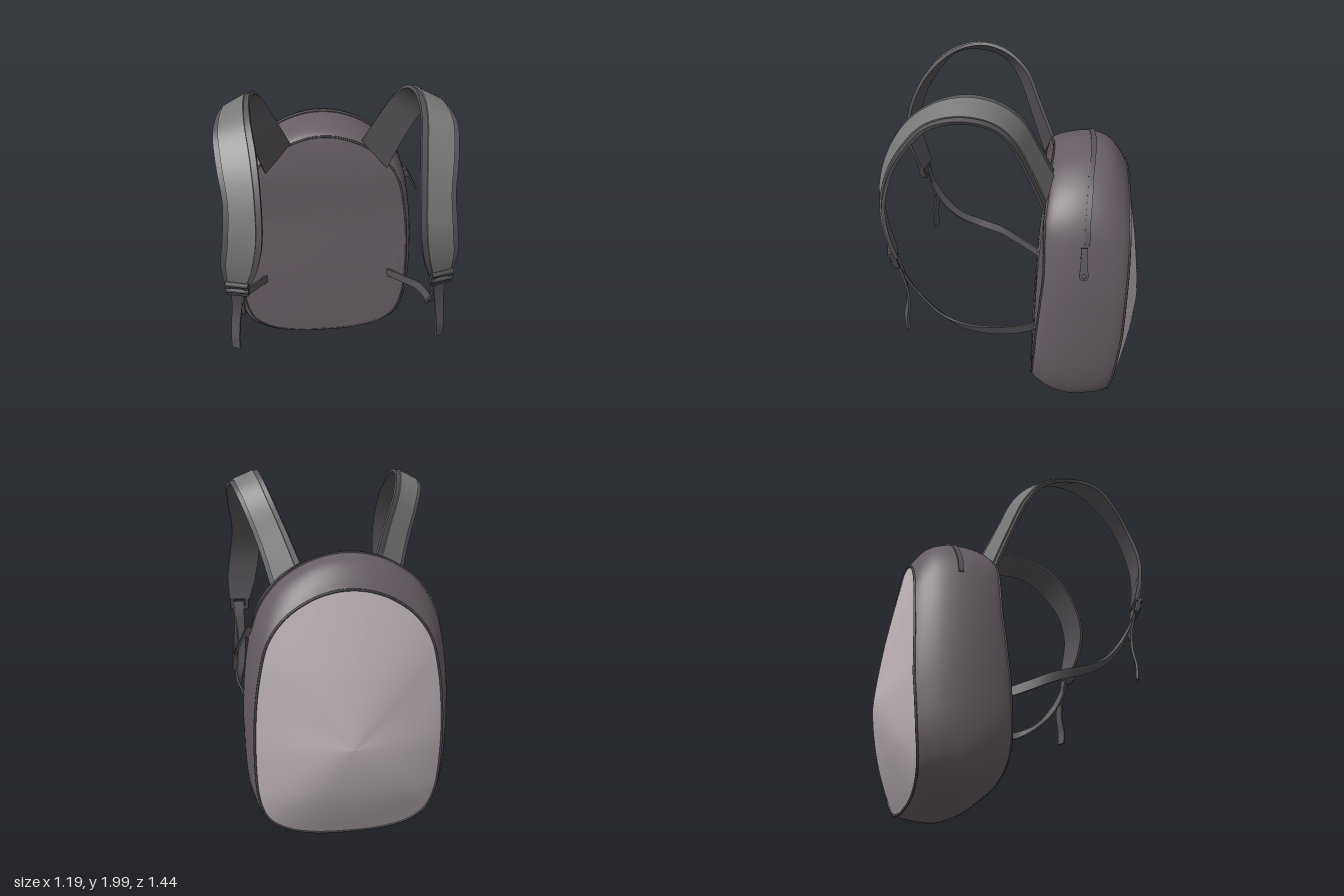
import * as THREE from 'three';
import { toCreasedNormals } from 'three/addons/utils/BufferGeometryUtils.js';

const V = (x, y, z) => new THREE.Vector3(x, y, z);
const mat = (color) => new THREE.MeshStandardMaterial({ color });
const bodyMat = mat(0x665d64), panelMat = mat(0xc2b7bc), padMat = mat(0x787978);
const trimMat = mat(0x565356), darkMat = mat(0x454346);

function add(parent, name, geometry, material) {
  const mesh = new THREE.Mesh(geometry, material);
  mesh.name = name;
  parent.add(mesh);
  return mesh;
}

// Skin over rings of points; each ring runs counter-clockwise seen from the first one
function loft(rings) {
  const n = rings[0].length, pos = [], index = [];
  rings.forEach((r) => r.forEach((p) => pos.push(p.x, p.y, p.z)));
  for (let i = 0; i < rings.length - 1; i++) {
    for (let j = 0; j < n; j++) {
      const k = (j + 1) % n, a = i * n, b = a + n;
      index.push(a + j, b + j, b + k, a + j, b + k, a + k);
    }
  }
  const g = new THREE.BufferGeometry();
  g.setAttribute('position', new THREE.Float32BufferAttribute(pos, 3));
  g.setIndex(index);
  g.computeVertexNormals();
  return g;
}

// Strap between two edge lines, covering f0..f1 of the width and n0..n1 of the thickness
function ribbon(edgeA, edgeB, f0, f1, n0, n1, side = 1, steps = 56) {
  const a = new THREE.CatmullRomCurve3(edgeA), b = new THREE.CatmullRomCurve3(edgeB);
  const mid = (t) => a.getPoint(t).lerp(b.getPoint(t), 0.5);
  const rings = [];
  for (let i = 0; i <= steps; i++) {
    const t = i / steps, A = a.getPoint(t), B = b.getPoint(t);
    const tangent = mid(Math.min(1, t + 0.01)).sub(mid(Math.max(0, t - 0.01)));
    const N = tangent.cross(B.clone().sub(A)).normalize();
    const ring = [[f0, n0], [f0, n1], [f1, n1], [f1, n0]].map(([f, n]) => {
      const p = A.clone().lerp(B, f).addScaledVector(N, n);
      p.x *= side;
      return p;
    });
    rings.push(side < 0 ? ring.reverse() : ring);
  }
  // closed ends
  const cap = (r) => r.map(() => r[0].clone().add(r[2]).multiplyScalar(0.5));
  rings.unshift(cap(rings[0]));
  rings.push(cap(rings[rings.length - 1]));
  return toCreasedNormals(loft(rings), 0.7);
}

// Piecewise-linear depth profiles of the front and back seams over height
function profile(table) {
  return (y) => {
    let i = 1;
    while (i < table.length - 1 && y > table[i][0]) i++;
    const [y0, z0] = table[i - 1], [y1, z1] = table[i];
    return z0 + (z1 - z0) * Math.min(1, Math.max(0, (y - y0) / (y1 - y0)));
  };
}
const zFront = profile([[0, -0.09], [0.15, -0.07], [0.6, -0.1], [1, -0.14], [1.3, -0.14], [1.5, -0.17], [1.59, -0.21]]);
const zBack = profile([[0, -0.515], [0.3, -0.56], [0.6, -0.59], [1, -0.6], [1.6, -0.6]]);

// Bag outline: half width and height as fractions, mirrored into an arch
const HALF = [[0.4, 0.008], [0.7, 0.04], [0.89, 0.1], [0.97, 0.19], [1, 0.35], [0.985, 0.55],
  [0.93, 0.7], [0.86, 0.8], [0.7, 0.89], [0.44, 0.96], [0.2, 0.992]];
const arch = new THREE.CatmullRomCurve3([V(0, 0, 0), ...HALF.map(([u, v]) => V(u, v, 0)), V(0, 1, 0),
  ...HALF.slice().reverse().map(([u, v]) => V(-u, v, 0))], true);
const OUTLINE = arch.getPoints(96).slice(0, 96);

const station = ([w, bottom, top, s, shift]) => OUTLINE.map((p) => {
  const y = bottom + (top - bottom) * p.y;
  return V(p.x * w + shift, y, THREE.MathUtils.lerp(zFront(y), zBack(y), s));
});

function piping(parent, name, ring) {
  const path = new THREE.CatmullRomCurve3(ring, true);
  add(parent, name, new THREE.TubeGeometry(path, 120, 0.007, 6, true), darkMat);
}

function buildBag() {
  const bag = new THREE.Group();
  bag.name = 'bag';
  // half width, bottom, top, depth fraction, sideways shift
  const stations = [
    [0.515, 0.15, 1.52, 0, -0.02], [0.54, 0.12, 1.545, 0.05, -0.02], [0.565, 0.05, 1.575, 0.25, -0.02],
    [0.567, 0.005, 1.585, 0.5, -0.02], [0.55, 0.005, 1.555, 0.75, -0.015], [0.525, 0.02, 1.48, 0.92, -0.005],
    [0.505, 0.035, 1.42, 1, 0],
  ].map(station);
  const lines = OUTLINE.map((_, j) => new THREE.CatmullRomCurve3(stations.map((r) => r[j])).getPoints(24));
  const shell = Array.from({ length: 25 }, (_, i) => lines.map((l) => l[i]));

  // flat front panel filling the first outline
  const front = [];
  for (let q = 0; q < 1; q += 0.125) {
    front.push(shell[0].map((p) => {
      const y = 0.8 + (p.y - 0.8) * q;
      return V(-0.02 + (p.x + 0.02) * q, y, zFront(y) + 0.008 * (1 - q));
    }));
  }
  add(bag, 'body', loft([...front, ...shell]), bodyMat);

  // bulging back panel
  const edge = shell[24], back = [];
  for (let i = 16; i >= 0; i--) {
    const q = i / 16;
    back.push(edge.map((p) => {
      const y = 0.6 + (p.y - 0.6) * q;
      const up = THREE.MathUtils.smoothstep(p.y, 0.3, 1);
      const bulge = 0.13 * (1 - Math.pow(q, 1.7 - 0.5 * up));
      return V(p.x * q, y, zBack(y) - bulge);
    }));
  }
  add(bag, 'backPanel', loft(back), panelMat);

  piping(bag, 'frontPiping', shell[1]);
  piping(bag, 'backPiping', edge);

  // zip band over the top of the bag
  const zip = shell[12].filter((p) => p.y > 1.17);
  const shifted = (dz) => zip.map((p) => V(p.x, p.y, p.z + dz));
  add(bag, 'zip', ribbon(shifted(-0.014), shifted(0.014), 0, 1, -0.01, 0.006), trimMat);
  return bag;
}

// Zip slider with a hanging tab
function buildZipPull() {
  const pull = new THREE.Group();
  pull.name = 'zipPull';
  add(pull, 'zipSlider', new THREE.BoxGeometry(0.03, 0.055, 0.035), darkMat);
  const shape = new THREE.Shape();
  shape.moveTo(-0.014, 0);
  shape.lineTo(-0.024, -0.12);
  shape.absarc(0, -0.12, 0.024, Math.PI, Math.PI * 2);
  shape.lineTo(0.014, 0);
  const hole = new THREE.Path();
  hole.absarc(0, -0.12, 0.012, 0, Math.PI * 2, true);
  shape.holes.push(hole);
  const g = new THREE.ExtrudeGeometry(shape, { depth: 0.012, bevelEnabled: false });
  const tab = add(pull, 'zipTab', g.translate(0, 0, -0.006).rotateY(Math.PI / 2), darkMat);
  tab.position.x = 0.012;
  pull.position.set(0.515, 1.165, -0.355);
  pull.rotation.z = 0.45;
  return pull;
}

// Ladder buckle: a rounded frame with a cross bar
function buildBuckle(side) {
  const buckle = new THREE.Group();
  buckle.name = 'buckle';
  const box = (path, w, h) => {
    path.moveTo(-w, -h * 0.6);
    path.quadraticCurveTo(-w, -h, -w * 0.75, -h).lineTo(w * 0.75, -h);
    path.quadraticCurveTo(w, -h, w, -h * 0.6).lineTo(w, h).lineTo(-w, h).closePath();
    return path;
  };
  const frame = box(new THREE.Shape(), 0.056, 0.046);
  frame.holes.push(box(new THREE.Path(), 0.04, 0.03));
  const g = new THREE.ExtrudeGeometry(frame, { depth: 0.02, bevelSize: 0.004, bevelThickness: 0.004, bevelSegments: 2 });
  add(buckle, 'buckleFrame', g.translate(0, 0, -0.01), darkMat);
  [-0.008, 0.04].forEach((y) => {
    const bar = add(buckle, 'buckleBar', new THREE.CylinderGeometry(0.012, 0.012, 0.116, 10).rotateZ(Math.PI / 2), darkMat);
    bar.position.set(0, y, 0.012);
  });
  buckle.position.set(0.525 * side, 1.125, 0.645);
  buckle.rotation.set(0.25, 0.2 * side, 0);
  return buckle;
}

// Webbing from centre points and half-width vectors
function webbing(rows, side) {
  const edge = (k) => rows.map(([c, h]) => V(...c).addScaledVector(V(...h), k));
  return ribbon(edge(-1), edge(1), 0, 1, -0.006, 0.006, side);
}

function buildStrap(side) {
  const strap = new THREE.Group();
  strap.name = side > 0 ? 'leftStrap' : 'rightStrap';
  const inner = [V(0.21, 1.5, -0.18), V(0.28, 1.68, -0.1), V(0.35, 1.85, -0.02), V(0.39, 1.95, 0.1), V(0.41, 1.985, 0.24),
    V(0.41, 1.945, 0.4), V(0.39, 1.83, 0.55), V(0.38, 1.65, 0.66), V(0.385, 1.45, 0.71), V(0.415, 1.28, 0.695), V(0.46, 1.14, 0.65)];
  const outer = [V(0.36, 1.33, -0.14), V(0.43, 1.58, -0.05), V(0.5, 1.77, 0.03), V(0.545, 1.87, 0.12), V(0.57, 1.91, 0.27),
    V(0.59, 1.88, 0.42), V(0.58, 1.77, 0.53), V(0.56, 1.62, 0.62), V(0.575, 1.45, 0.665), V(0.595, 1.3, 0.655), V(0.59, 1.15, 0.62)];
  add(strap, 'strapBase', ribbon(inner, outer, 0, 1, -0.01, 0.008, side), trimMat);
  add(strap, 'strapPad', ribbon(inner, outer, 0.15, 0.85, 0, 0.016, side), padMat);
  strap.add(buildBuckle(side));

  // lower strap back to the bag, twisting from flat to upright
  add(strap, 'lowerStrap', webbing([
    [[0.53, 1.13, 0.64], [0.035, 0, 0]], [[0.525, 1, 0.595], [0.026, 0, -0.01]], [[0.522, 0.87, 0.52], [0.022, 0.008, -0.01]],
    [[0.535, 0.765, 0.42], [0.02, 0.015, 0]], [[0.555, 0.7, 0.3], [0.012, 0.022, 0]], [[0.535, 0.655, 0.15], [0.006, 0.026, 0]],
    [[0.47, 0.61, 0.02], [0, 0.027, 0]], [[0.385, 0.575, -0.105], [0, 0.027, 0]],
  ], side), trimMat);

  // loose strap end
  add(strap, 'strapTail', webbing([
    [[0.53, 1.12, 0.63], [0.03, 0, 0]], [[0.54, 0.96, 0.593], [0.026, 0, -0.005]], [[0.552, 0.85, 0.588], [0.023, 0, -0.01]],
    [[0.56, 0.75, 0.603], [0.022, 0, -0.012]], [[0.562, 0.67, 0.6], [0.022, 0, -0.012]],
  ], side), trimMat);
  return strap;
}

export function createModel() {
  const model = new THREE.Group();
  model.name = 'backpack';
  model.add(buildBag(), buildZipPull(), buildStrap(1), buildStrap(-1));
  return model;
}
